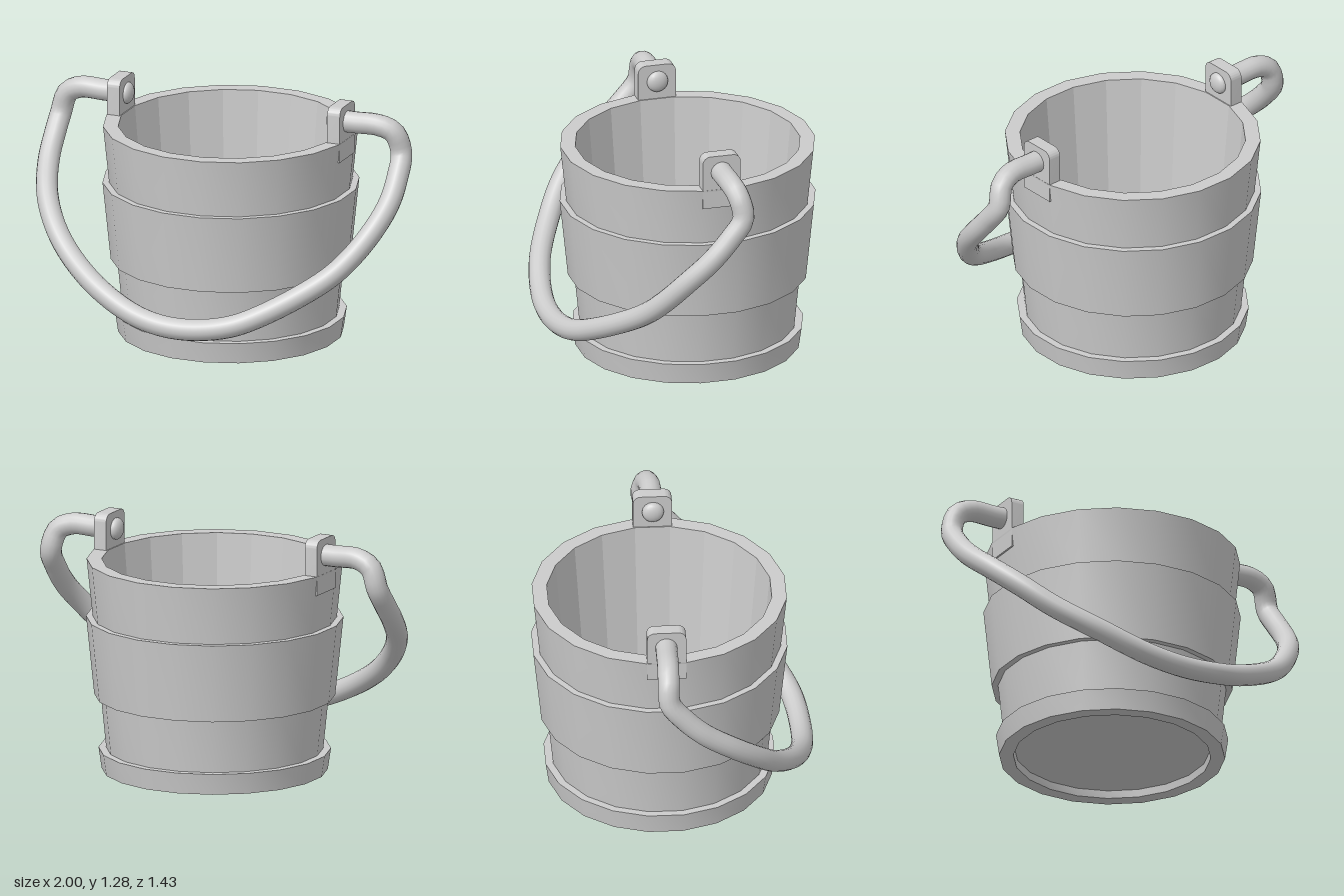
import * as THREE from 'three';
import { toCreasedNormals } from 'three/addons/utils/BufferGeometryUtils.js';

const SIDES = 20;
const material = new THREE.MeshStandardMaterial({ color: 0xcccccc });
const flatMaterial = new THREE.MeshStandardMaterial({ color: 0xcccccc, flatShading: true });

function addMesh(parent, name, geometry, mat = material) {
  const mesh = new THREE.Mesh(geometry, mat);
  mesh.name = name;
  parent.add(mesh);
  return mesh;
}

// Lathe with flat sides centred on the x and z axes
function lathe(profile) {
  const points = profile.map(([r, y]) => new THREE.Vector2(r, y));
  return new THREE.LatheGeometry(points, SIDES, Math.PI / SIDES);
}

// Upright plate with two rounded top corners, extruded in thickness
function lugGeometry(width, bottom, top, thickness, corner) {
  const w = width / 2;
  const shape = new THREE.Shape();
  shape.moveTo(-w, bottom);
  shape.lineTo(w, bottom);
  shape.lineTo(w, top - corner);
  shape.absarc(w - corner, top - corner, corner, 0, Math.PI / 2);
  shape.lineTo(-w + corner, top);
  shape.absarc(-w + corner, top - corner, corner, Math.PI / 2, Math.PI);
  shape.closePath();
  const geometry = new THREE.ExtrudeGeometry(shape, { depth: thickness, bevelEnabled: false, curveSegments: 5 });
  geometry.translate(0, 0, -thickness / 2);
  return geometry.rotateY(Math.PI / 2);
}

export function createModel() {
  const model = new THREE.Group();
  model.name = 'bucketWithHandle';

  // Pail body, turned slightly about its axis
  const pail = new THREE.Group();
  pail.name = 'pail';
  pail.position.set(0.003, 0, -0.065);
  pail.rotation.y = -0.032;
  model.add(pail);

  // Outside: recessed underside, foot ring, wall, raised band, rim wall
  const outside = lathe([
    [0, 0.04], [0.5, 0.04], [0.505, 0], [0.578, 0], [0.594, 0.11], [0.555, 0.11],
    [0.583, 0.39], [0.616, 0.39], [0.658, 0.8], [0.624, 0.8], [0.655, 1.1],
  ]);
  addMesh(pail, 'outerWall', toCreasedNormals(outside, 0.6));

  // Rim top, inner wall and floor
  const inside = lathe([[0.655, 1.1], [0.578, 1.1], [0.492, 0.12], [0, 0.12]]);
  addMesh(pail, 'innerWall', inside, flatMaterial);

  // Lugs that hold the handle
  for (const [name, side] of [['leftLug', 1], ['rightLug', -1]]) {
    const lug = addMesh(pail, name, toCreasedNormals(lugGeometry(0.2, 1.0, 1.285, 0.07, 0.04), 0.5));
    lug.position.x = side * 0.611;
  }

  // Swinging handle hanging at the front
  const path = [
    [0.57, 1.195, -0.045], [0.7, 1.195, -0.042], [0.82, 1.195, -0.042], [0.9, 1.16, -0.055],
    [0.935, 1.05, -0.07], [0.942, 0.95, 0.0], [0.935, 0.835, 0.1], [0.89, 0.715, 0.21],
    [0.8, 0.58, 0.31], [0.695, 0.475, 0.39], [0.43, 0.315, 0.56], [0.25, 0.245, 0.635],
    [0, 0.215, 0.66],
    [-0.22, 0.245, 0.645], [-0.46, 0.345, 0.58], [-0.67, 0.475, 0.465], [-0.8, 0.6, 0.36],
    [-0.89, 0.725, 0.23], [-0.938, 0.85, 0.08], [-0.945, 0.95, -0.02], [-0.938, 1.05, -0.095],
    [-0.905, 1.155, -0.1], [-0.83, 1.195, -0.095], [-0.7, 1.195, -0.09], [-0.57, 1.195, -0.085],
  ].map((p) => new THREE.Vector3(...p));
  const handle = new THREE.Group();
  handle.name = 'handle';
  model.add(handle);
  const curve = new THREE.CatmullRomCurve3(path, false, 'centripetal');
  addMesh(handle, 'handleBar', new THREE.TubeGeometry(curve, 120, 0.056, 16));

  // Rounded handle ends inside the lugs
  for (const [name, end] of [['leftHandleEnd', path[0]], ['rightHandleEnd', path[path.length - 1]]]) {
    const cap = addMesh(handle, name, new THREE.SphereGeometry(0.056, 16, 12));
    cap.scale.x = 0.55;
    cap.position.copy(end);
  }
  return model;
}
